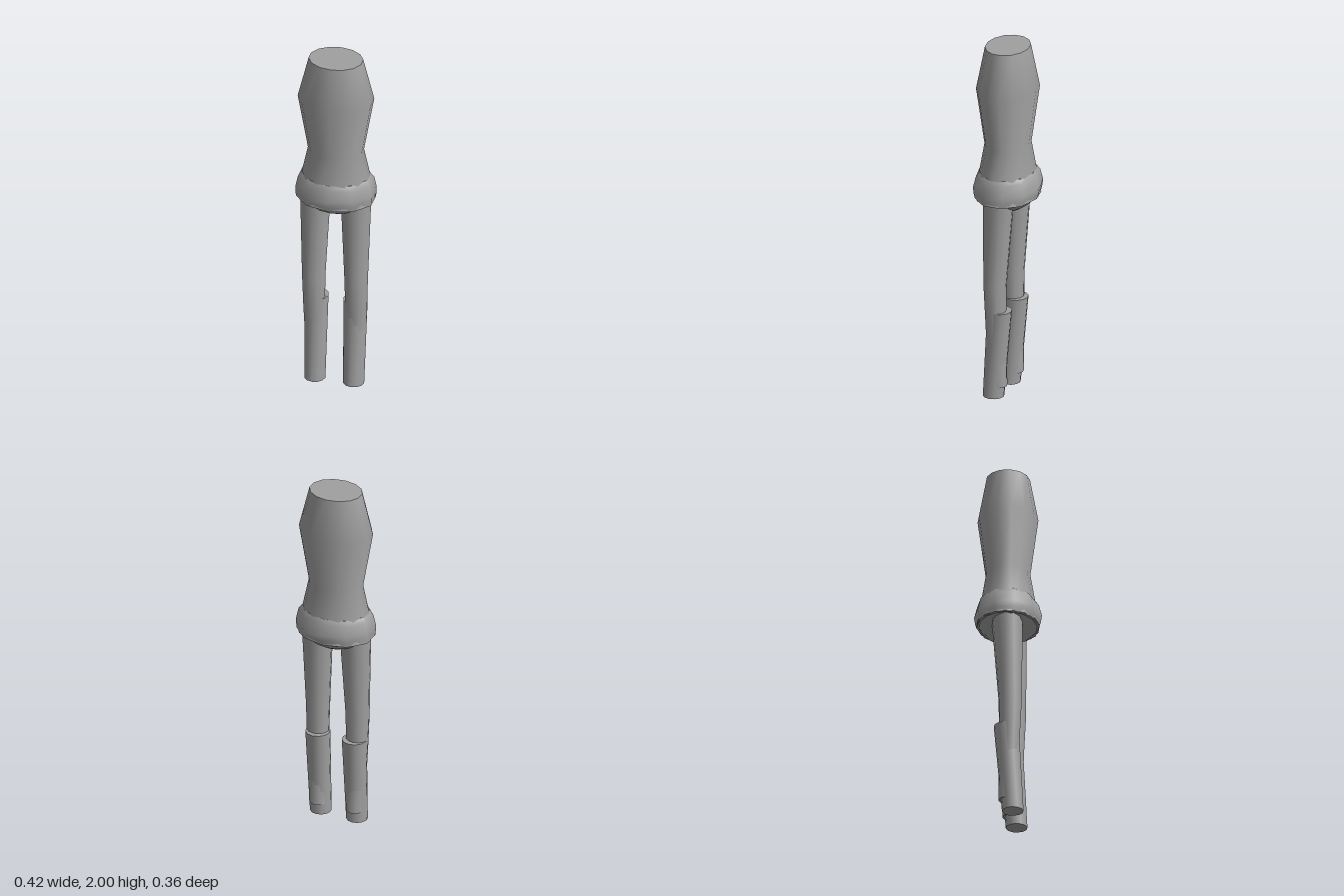
import * as THREE from 'three';

// Closed loft through elliptical rings [y, rx, rz, cx, cz], listed from top to bottom.
function loft(rings, sides) {
  const pos = [], idx = [];
  const addRing = ([y, rx, rz, cx = 0, cz = 0]) => {
    const start = pos.length / 3;
    for (let i = 0; i < sides; i++) {
      const a = (i / sides) * Math.PI * 2;
      pos.push(cx + rx * Math.sin(a), y, cz + rz * Math.cos(a));
    }
    return start;
  };
  // Side walls share vertices for smooth shading
  const starts = rings.map(addRing);
  for (let r = 0; r < rings.length - 1; r++) {
    for (let i = 0; i < sides; i++) {
      const j = (i + 1) % sides;
      const a = starts[r] + i, b = starts[r] + j;
      const c = starts[r + 1] + i, d = starts[r + 1] + j;
      idx.push(a, c, b, b, c, d);
    }
  }
  // Caps have their own vertices so their rims stay sharp
  const top = addRing(rings[0]);
  const bottom = addRing(rings[rings.length - 1]);
  for (let i = 1; i < sides - 1; i++) {
    idx.push(top, top + i, top + i + 1);
    idx.push(bottom, bottom + i + 1, bottom + i);
  }
  const geo = new THREE.BufferGeometry();
  geo.setAttribute('position', new THREE.Float32BufferAttribute(pos, 3));
  geo.setIndex(idx);
  geo.computeVertexNormals();
  return geo;
}

export function createModel() {
  const model = new THREE.Group();
  model.name = 'mannequin';
  const grey = new THREE.MeshStandardMaterial({ color: 0xa0a0a0 });
  grey.name = 'plain grey';

  const add = (name, rings, sides) => {
    const mesh = new THREE.Mesh(loft(rings, sides), grey);
    mesh.name = name;
    model.add(mesh);
  };

  // Torso with flat top, chest, waist and flared hips
  add('torso', [
    [2.0, 0.148, 0.118],
    [1.76, 0.207, 0.163],
    [1.44, 0.152, 0.12],
    [1.142, 0.215, 0.17],
  ], 14);

  // Rounded underside of the hips
  add('pelvis', [
    [1.142, 0.205, 0.16],
    [1.095, 0.14, 0.115],
    [1.065, 0.075, 0.068],
    [1.048, 0.025, 0.025],
  ], 14);

  // Padded belt around the hips
  add('hipBand', [
    [1.285, 0.185, 0.148],
    [1.26, 0.207, 0.166],
    [1.2, 0.22, 0.182],
    [1.165, 0.22, 0.177],
    [1.138, 0.218, 0.169],
  ], 10);

  for (const [side, s] of [['left', 1], ['right', -1]]) {
    // Leg from hip to inside the boot
    add(side + 'Leg', [
      [1.14, 0.084, 0.084, s * 0.112, 0.006],
      [0.65, 0.065, 0.062, s * 0.117, 0.023],
      [0.45, 0.06, 0.056, s * 0.116, 0.019],
      [0.07, 0.05, 0.051, s * 0.108, 0.011],
    ], 12);
    // Boot shaft leaning forward toward the ground
    add(side + 'Boot', [
      [0.505, 0.067, 0.067, s * 0.108, 0.001],
      [0.005, 0.058, 0.058, s * 0.107, 0.036],
    ], 12);
  }
  return model;
}
